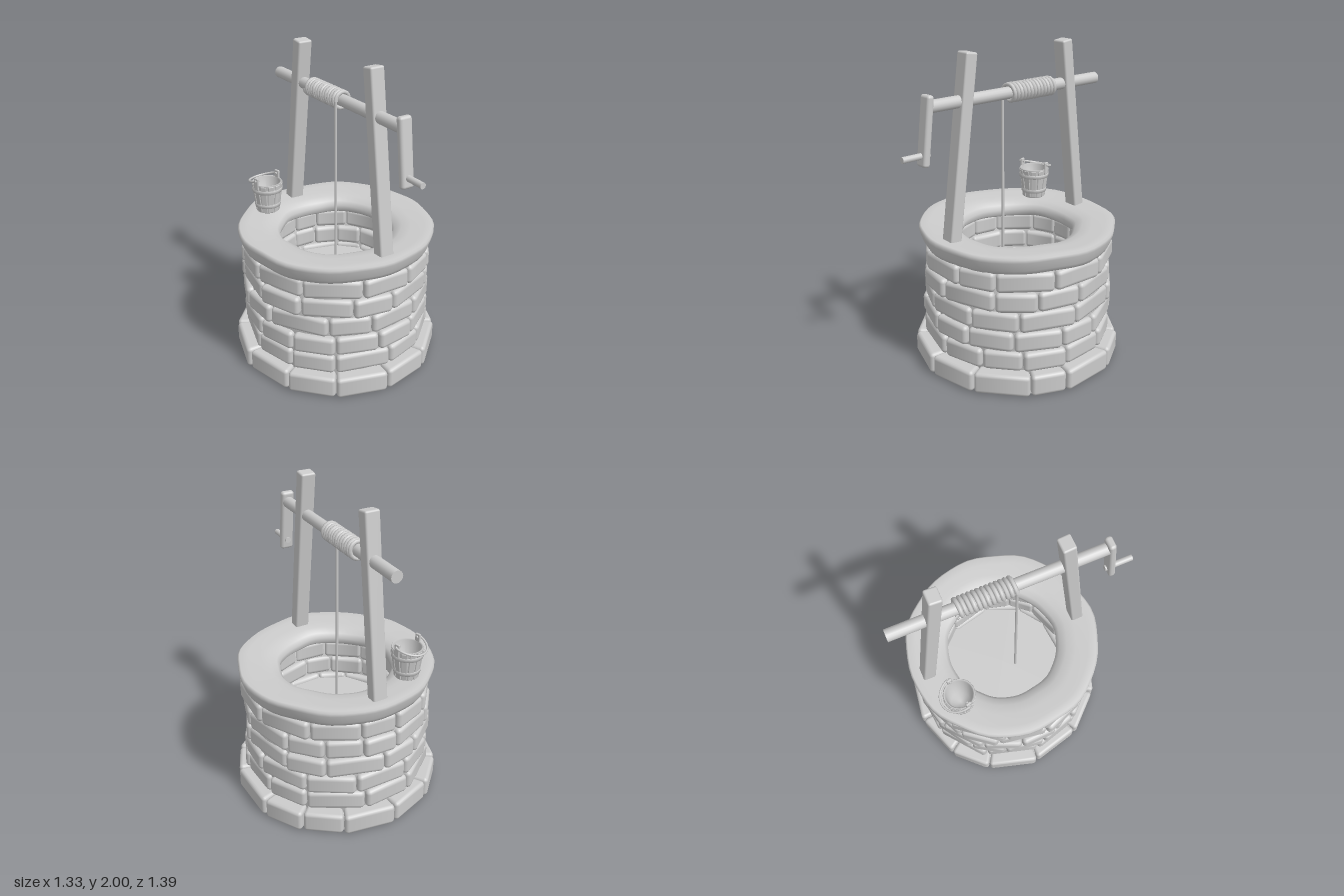
import * as THREE from 'three';
import { RoundedBoxGeometry } from 'three/addons/geometries/RoundedBoxGeometry.js';

const mat = new THREE.MeshStandardMaterial({ color: 0xcccccc });
const thin = new THREE.MeshStandardMaterial({ color: 0xcccccc, side: THREE.DoubleSide });

let seed = 7;
const rand = () => (seed = (seed * 16807) % 2147483647) / 2147483647;

function add(parent, name, geometry, x = 0, y = 0, z = 0, material = mat) {
  const mesh = new THREE.Mesh(geometry, material);
  mesh.name = name;
  mesh.position.set(x, y, z);
  parent.add(mesh);
  return mesh;
}

const lathe = (points, segments) =>
  new THREE.LatheGeometry(points.map(([r, y]) => new THREE.Vector2(r, y)), segments);

// Rounded block bent around the y axis, its outer face at radius R
function stoneGeometry(angle, height, depth, R, round) {
  const g = new RoundedBoxGeometry(angle * R, height, depth, 2, round);
  const p = g.attributes.position, n = g.attributes.normal;
  for (let i = 0; i < p.count; i++) {
    const a = p.getX(i) / R, r = R - depth / 2 + p.getZ(i);
    const s = Math.sin(a), c = Math.cos(a), nx = n.getX(i), nz = n.getZ(i);
    p.setXYZ(i, r * s, p.getY(i), r * c);
    n.setXYZ(i, nx * c + nz * s, n.getY(i), nz * c - nx * s);
  }
  return g;
}

// One ring of stones with uneven widths
function course(parent, name, count, y0, y1, R, depth, round) {
  const row = new THREE.Group();
  row.name = name;
  const widths = Array.from({ length: count }, () => 0.75 + rand() * 0.5);
  const total = widths.reduce((a, b) => a + b, 0);
  let a = rand() * Math.PI * 2;
  for (const w of widths) {
    const angle = (w / total) * Math.PI * 2;
    const g = stoneGeometry(angle - 0.008, y1 - y0 - 0.004, depth, R + (rand() - 0.5) * 0.018, round);
    add(row, 'stone', g, 0, (y0 + y1) / 2, 0).rotation.y = a + angle / 2;
    a += angle;
  }
  parent.add(row);
}

// Beam leaning in the local xy plane between two points
function beam(parent, name, x0, y0, x1, y1, w, d, round) {
  const g = new RoundedBoxGeometry(w, Math.hypot(x1 - x0, y1 - y0), d, 2, round);
  const m = add(parent, name, g, (x0 + x1) / 2, (y0 + y1) / 2, 0);
  m.rotation.z = -Math.atan2(x1 - x0, y1 - y0);
}

// Horizontal rod along local x
function rod(parent, name, x0, x1, y, r, sides) {
  const g = new THREE.CylinderGeometry(r, r, x1 - x0, sides).rotateZ(Math.PI / 2);
  add(parent, name, g, (x0 + x1) / 2, y, 0);
}

function buildWall() {
  const wall = new THREE.Group();
  wall.name = 'stoneWall';
  add(wall, 'bottomSlab', new THREE.CylinderGeometry(0.615, 0.615, 0.11, 40), 0, 0.057, 0);
  course(wall, 'baseCourse', 13, 0, 0.142, 0.66, 0.24, 0.025);
  for (let i = 0; i < 5; i++)
    course(wall, 'wallCourse', 12 + (i % 2), 0.14 + i * 0.13, 0.27 + i * 0.13, 0.605, 0.215, 0.028);
  // Mortar core behind the joints
  add(wall, 'mortar', lathe([[0.41, 0.1], [0.57, 0.1], [0.57, 0.79], [0.41, 0.79], [0.41, 0.1]], 48), 0, 0, 0, thin);
  add(wall, 'water', new THREE.CircleGeometry(0.42, 40).rotateX(-Math.PI / 2), 0, 0.5, 0);

  // Worn capstone ring
  const cap = lathe([[0.375, 0.78], [0.57, 0.78], [0.592, 0.784], [0.606, 0.81], [0.624, 0.865], [0.624, 0.885],
    [0.612, 0.897], [0.56, 0.893], [0.48, 0.888], [0.42, 0.88], [0.375, 0.858], [0.355, 0.83], [0.36, 0.795], [0.375, 0.78]], 60);
  const p = cap.attributes.position;
  for (let i = 0; i < p.count; i++) {
    const x = p.getX(i), z = p.getZ(i), a = Math.atan2(z, x);
    const k = 1 + 0.007 * Math.sin(7 * a) + 0.005 * Math.sin(12 * a + 1);
    p.setXYZ(i, x * k, p.getY(i) + 0.005 * Math.sin(5 * a + 2), z * k);
  }
  add(wall, 'capRing', cap);
  return wall;
}

function buildWindlass() {
  const w = new THREE.Group();
  w.name = 'windlass';
  const axleY = 1.72;
  for (const s of [-1, 1]) beam(w, 'post', s * 0.521, 0.85, s * 0.373, 1.995, 0.08, 0.095, 0.012);
  rod(w, 'axle', -0.67, 0.67, axleY, 0.037, 16);
  beam(w, 'crankArm', 0.702, 1.385, 0.655, 1.79, 0.045, 0.085, 0.018);
  rod(w, 'crankHandle', 0.66, 0.84, 1.45, 0.019, 12);

  // Wound rope and its hanging end
  const turns = 13, steps = turns * 14, points = [];
  for (let i = 0; i <= steps; i++) {
    const a = (i / steps) * turns * Math.PI * 2;
    points.push(new THREE.Vector3(-0.275 + 0.35 * i / steps, axleY - 0.05 * Math.sin(a), 0.05 * Math.cos(a)));
  }
  add(w, 'ropeCoil', new THREE.TubeGeometry(new THREE.CatmullRomCurve3(points), steps, 0.0135, 7));
  add(w, 'hangingRope', new THREE.CylinderGeometry(0.009, 0.009, axleY - 0.45, 8), 0.075, (axleY + 0.45) / 2, 0.05);
  w.rotation.y = -1.033;
  return w;
}

function buildBucket() {
  const b = new THREE.Group();
  b.name = 'bucket';
  add(b, 'pail', lathe([[0, 0], [0.068, 0], [0.072, 0.005], [0.098, 0.2], [0.094, 0.206], [0.084, 0.2], [0.062, 0.03], [0, 0.03]], 20));
  for (const [y, r] of [[0.05, 0.079], [0.155, 0.094]])
    add(b, 'hoop', lathe([[r - 0.008, y - 0.013], [r + 0.005, y - 0.012], [r + 0.008, y + 0.012], [r - 0.004, y + 0.014]], 20), 0, 0, 0, thin);
  // Stave joints
  for (let i = 0; i < 12; i++) {
    const a = (i / 12) * Math.PI * 2;
    const stave = new THREE.Group();
    const m = add(stave, 'stave', new RoundedBoxGeometry(0.036, 0.195, 0.01, 1, 0.004), 0, 0.101, 0.083);
    m.rotation.x = 0.13;
    stave.rotation.y = a;
    b.add(stave);
  }
  // Ears with pivots, and the bail folded to one side
  for (const s of [-1, 1]) {
    add(b, 'ear', new RoundedBoxGeometry(0.016, 0.085, 0.036, 1, 0.006), s * 0.094, 0.21, 0);
    rod(b, 'pivot', s * 0.094 - 0.018, s * 0.094 + 0.018, 0.232, 0.009, 8);
  }
  const arc = [];
  for (let i = 0; i <= 12; i++) {
    const a = (i / 12) * Math.PI, d = Math.sin(a);
    arc.push(new THREE.Vector3(0.108 * Math.cos(a), 0.232 - 0.035 * d, -0.122 * d));
  }
  add(b, 'bail', new THREE.TubeGeometry(new THREE.CatmullRomCurve3(arc), 28, 0.007, 7));
  b.position.set(-0.44, 0.893, -0.2);
  b.rotation.y = 0.82;
  return b;
}

export function createModel() {
  const model = new THREE.Group();
  model.name = 'well';
  const body = new THREE.Group();
  body.name = 'wellBody';
  body.add(buildWall(), buildWindlass(), buildBucket());
  body.position.z = -0.042;
  model.add(body);
  return model;
}
